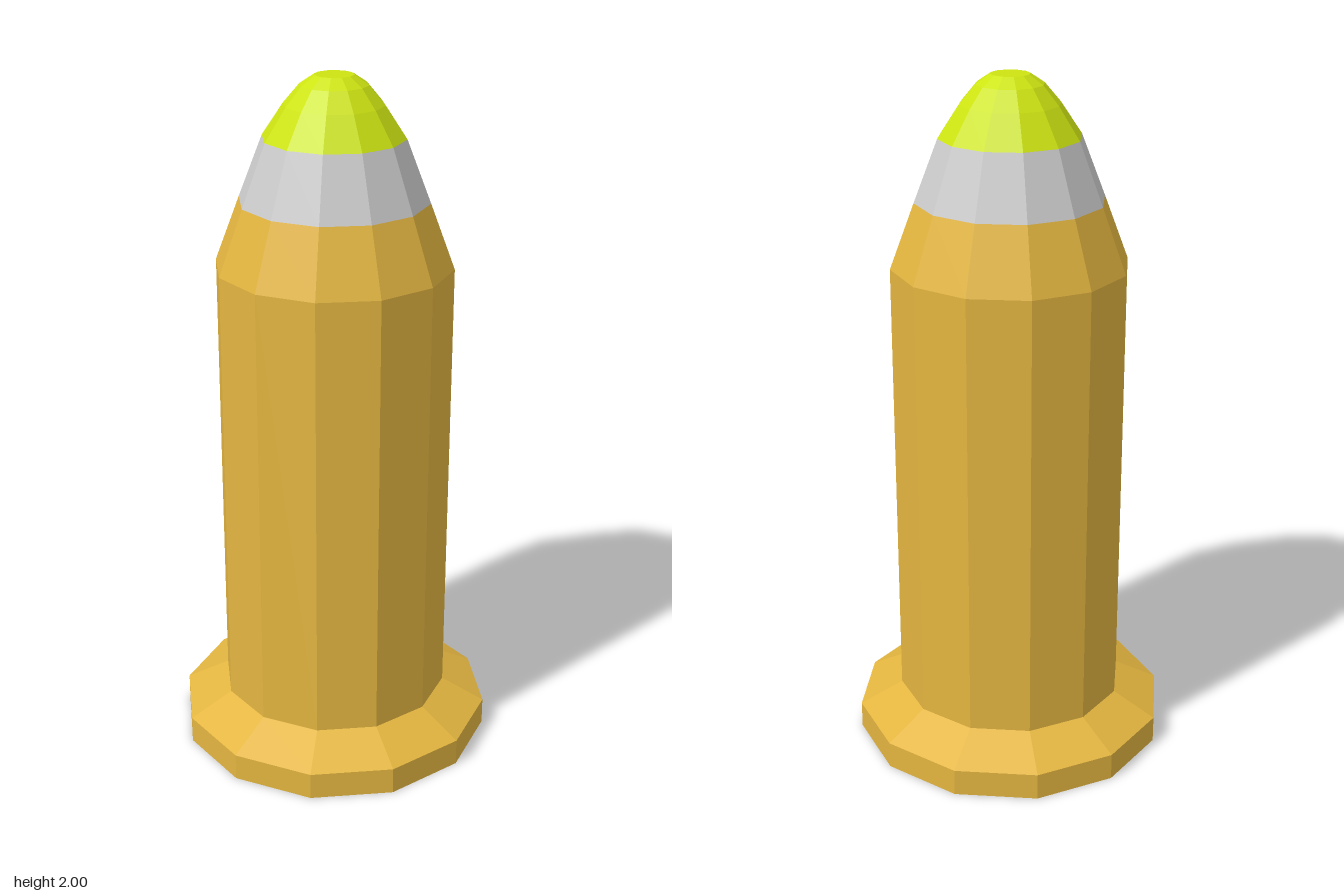
import * as THREE from 'three';

const SIDES = 12;

// Faceted solid of revolution from [radius, height] pairs, listed bottom to top
function turned(name, color, profile) {
  const points = profile.map(([r, y]) => new THREE.Vector2(r, y));
  const material = new THREE.MeshStandardMaterial({ color, flatShading: true });
  const mesh = new THREE.Mesh(new THREE.LatheGeometry(points, SIDES), material);
  mesh.name = name;
  return mesh;
}

export function createModel() {
  const group = new THREE.Group();
  group.name = 'cartridge';
  const brass = 0xe3b540;

  group.add(
    // Flat base with a bevelled rim
    turned('baseRim', brass, [[0, 0], [0.465, 0], [0.465, 0.08], [0.338, 0.147]]),
    // Straight casing and its tapering shoulder
    turned('casing', brass, [[0.338, 0.147], [0.338, 1.47], [0.268, 1.655]]),
    // Bare metal band
    turned('band', 0xcccccc, [[0.268, 1.655], [0.2, 1.83]]),
    // Rounded nose with a flat end
    turned('tip', 0xcde412, [[0.2, 1.83], [0.14, 1.92], [0.095, 1.973], [0.055, 2], [0, 2]]),
  );
  return group;
}
